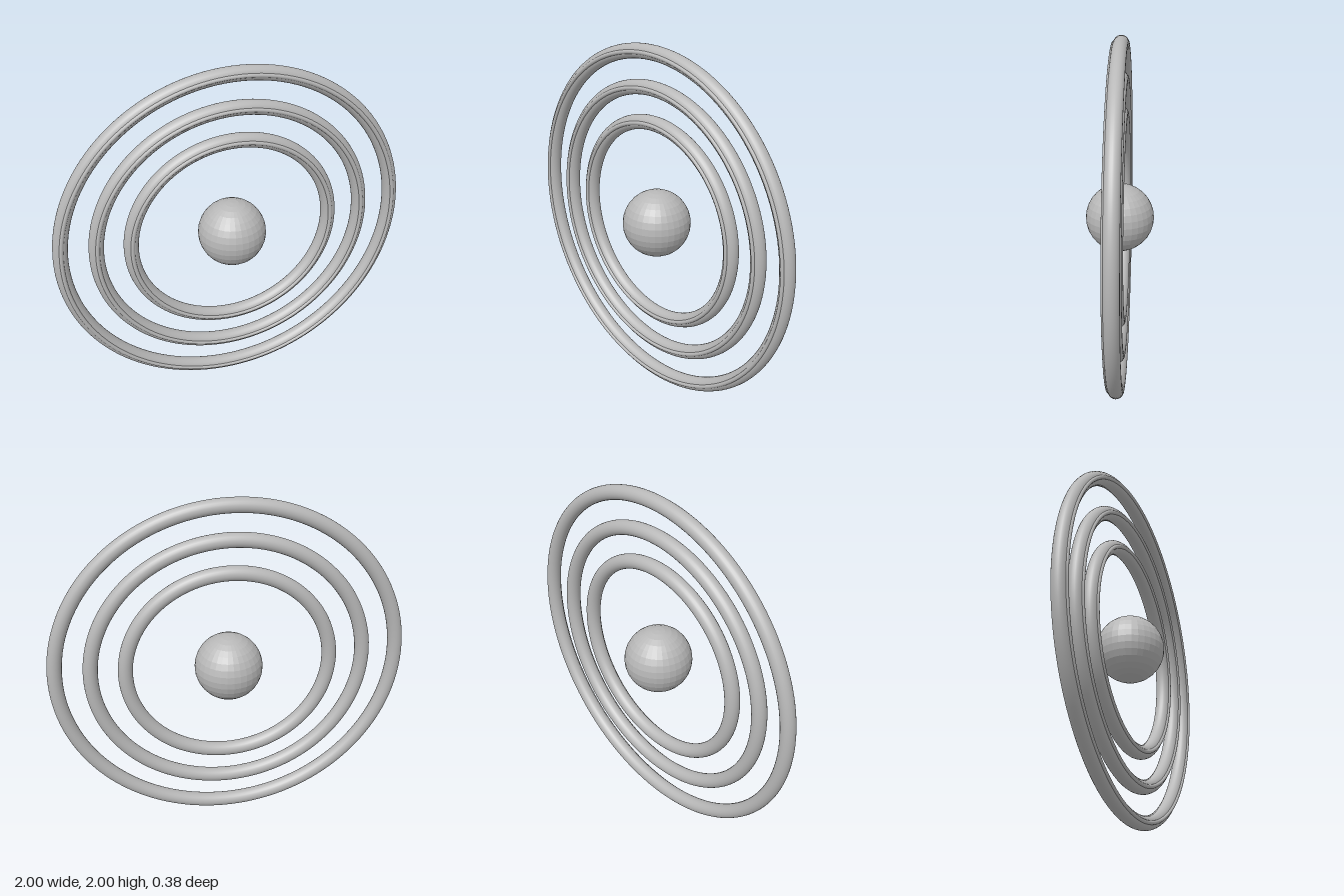
import * as THREE from 'three';

export function createModel() {
  const model = new THREE.Group();
  model.name = 'ringedSphere';

  const grey = new THREE.MeshStandardMaterial({ color: 0xb8b8b8 });
  grey.name = 'grey';
  const facetedGrey = grey.clone();
  facetedGrey.name = 'facetedGrey';
  facetedGrey.flatShading = true;

  const add = (parent, name, geometry, material, z = 0) => {
    const mesh = new THREE.Mesh(geometry, material);
    mesh.name = name;
    mesh.position.z = z;
    parent.add(mesh);
    return mesh;
  };

  // Faceted ball in the middle
  add(model, 'centreBall', new THREE.SphereGeometry(0.19, 32, 16), facetedGrey).position.y = 1;

  // Three concentric rings, each with a thin bead along its front
  const tube = 0.041;
  const bead = 0.012;
  [['innerRing', 0.575], ['middleRing', 0.766], ['outerRing', 0.959]].forEach(([name, radius]) => {
    const ring = new THREE.Group();
    ring.name = name;
    ring.position.y = 1;
    add(ring, name + 'Tube', new THREE.TorusGeometry(radius, tube, 24, 128), grey);
    add(ring, name + 'Bead', new THREE.TorusGeometry(radius, bead, 12, 128), grey, 0.037);
    model.add(ring);
  });

  return model;
}
